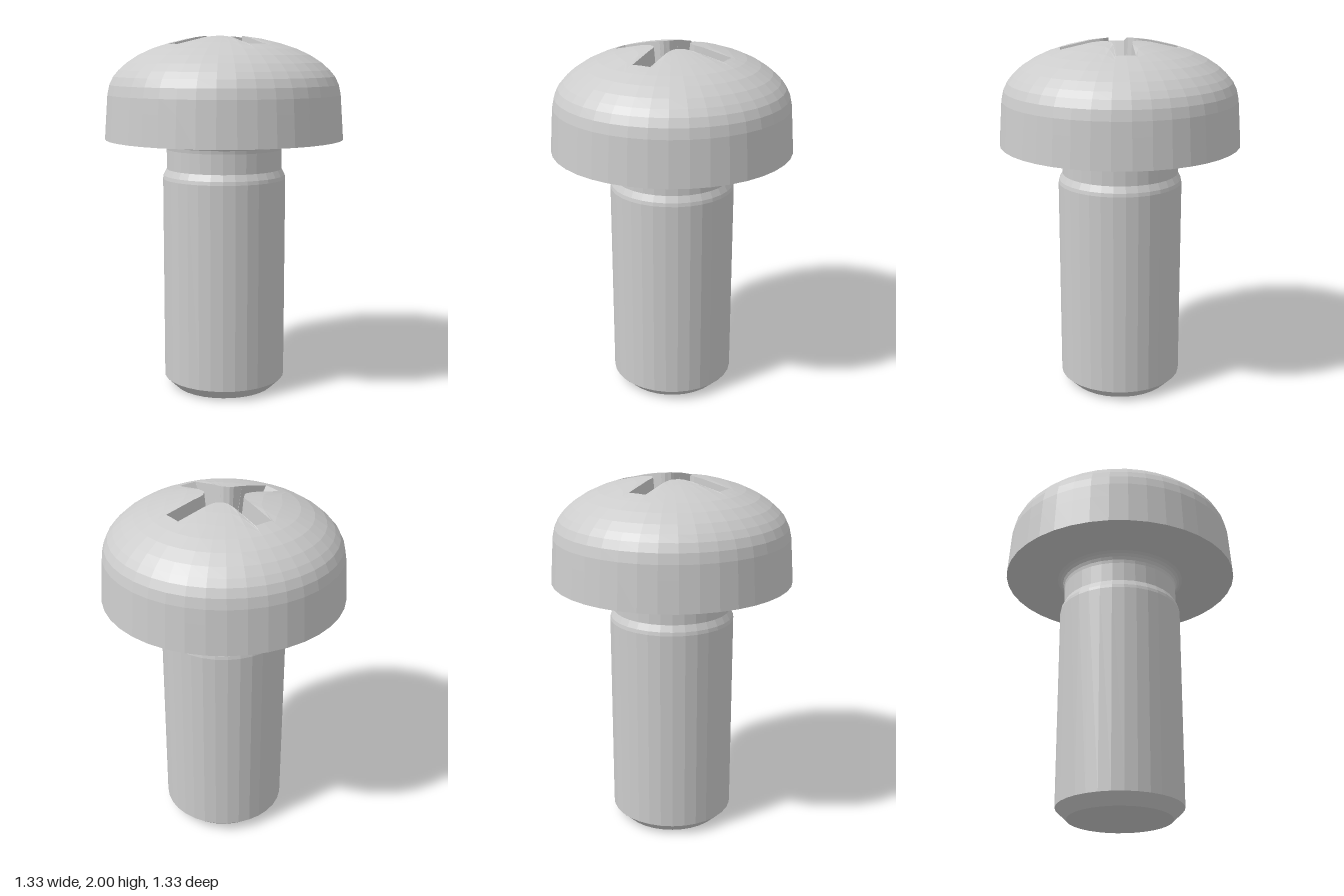
import * as THREE from 'three';

const SEGMENTS = 40;
const material = new THREE.MeshStandardMaterial({ color: 0xcccccc, flatShading: true });

const domeHeight = (r) => 2.005 - 0.46 * r * r;

// Half-quadrant outlines of the cross recess, at its mouth and at its floor
const mouthPoints = [[0.325, 0], [0.325, 0.0515], [0.158, 0.0515], [0.107, 0.0545], [0.0865, 0.0628], [0.075, 0.075]];
const floorPoints = [[0.068, 0], [0.068, 0.026], [0.064, 0.031], [0.057, 0.035], [0.052, 0.039], [0.046, 0.046]];

// Mirror and turn a half-quadrant outline into the full cross
function crossPoint(points, j) {
  const m = j % 10;
  const [p, q] = points[m <= 5 ? m : 10 - m];
  const v = m <= 5 ? new THREE.Vector2(p, q) : new THREE.Vector2(q, p);
  return v.rotateAround(new THREE.Vector2(), Math.floor(j / 10) * Math.PI / 2);
}

// Skin closed cross-sections, listed from the recess floor outward
function skin(rows) {
  const positions = [], indices = [];
  for (const row of rows) {
    for (let j = 0; j < SEGMENTS; j++) positions.push(...row(j));
  }
  for (let i = 0; i < rows.length - 1; i++) {
    for (let j = 0; j < SEGMENTS; j++) {
      const k = (j + 1) % SEGMENTS;
      const a = i * SEGMENTS + j, b = a + SEGMENTS;
      const d = i * SEGMENTS + k, c = d + SEGMENTS;
      indices.push(a, b, c, a, c, d);
    }
  }
  const geometry = new THREE.BufferGeometry();
  geometry.setAttribute('position', new THREE.Float32BufferAttribute(positions, 3));
  geometry.setIndex(indices);
  geometry.computeVertexNormals();
  return geometry;
}

const ring = (r, y) => (j) => {
  const a = j / SEGMENTS * Math.PI * 2;
  return [r * Math.cos(a), y, -r * Math.sin(a)];
};

function createHead() {
  const floorY = 1.57;
  const rows = [
    () => [0, floorY, 0],
    (j) => { const p = crossPoint(floorPoints, j); return [p.x, floorY, -p.y]; },
  ];
  // Dome surface from the recess mouth out to a round ring
  for (const t of [0, 0.33, 0.67, 1]) {
    rows.push((j) => {
      const p = crossPoint(mouthPoints, j);
      const a = j / SEGMENTS * Math.PI * 2;
      p.lerp(new THREE.Vector2(Math.cos(a), Math.sin(a)).multiplyScalar(0.4), t);
      return [p.x, domeHeight(p.length()), -p.y];
    });
  }
  // Shoulder, side and flat underside
  const profile = [[0.475, 1.897], [0.54, 1.855], [0.585, 1.815], [0.615, 1.78], [0.637, 1.735],
    [0.649, 1.68], [0.655, 1.6], [0.667, 1.435], [0.33, 1.435]];
  for (const [r, y] of profile) rows.push(ring(r, y));
  return new THREE.Mesh(skin(rows), material);
}

function createShank() {
  // Chamfered tip, body, relieved neck and fillet under the head
  const profile = [[0, 0], [0.285, 0], [0.347, 0.06], [0.347, 1.21], [0.343, 1.23], [0.325, 1.265], [0.325, 1.375]];
  for (let i = 1; i <= 5; i++) {
    const a = i / 5 * Math.PI / 2;
    profile.push([0.385 - 0.06 * Math.cos(a), 1.375 + 0.06 * Math.sin(a)]);
  }
  const points = profile.map(([r, y]) => new THREE.Vector2(r, y));
  return new THREE.Mesh(new THREE.LatheGeometry(points, 32), material);
}

export function createModel() {
  const group = new THREE.Group();
  group.name = 'screw';
  const head = createHead();
  head.name = 'head';
  const shank = createShank();
  shank.name = 'shank';
  group.add(head, shank);
  return group;
}
